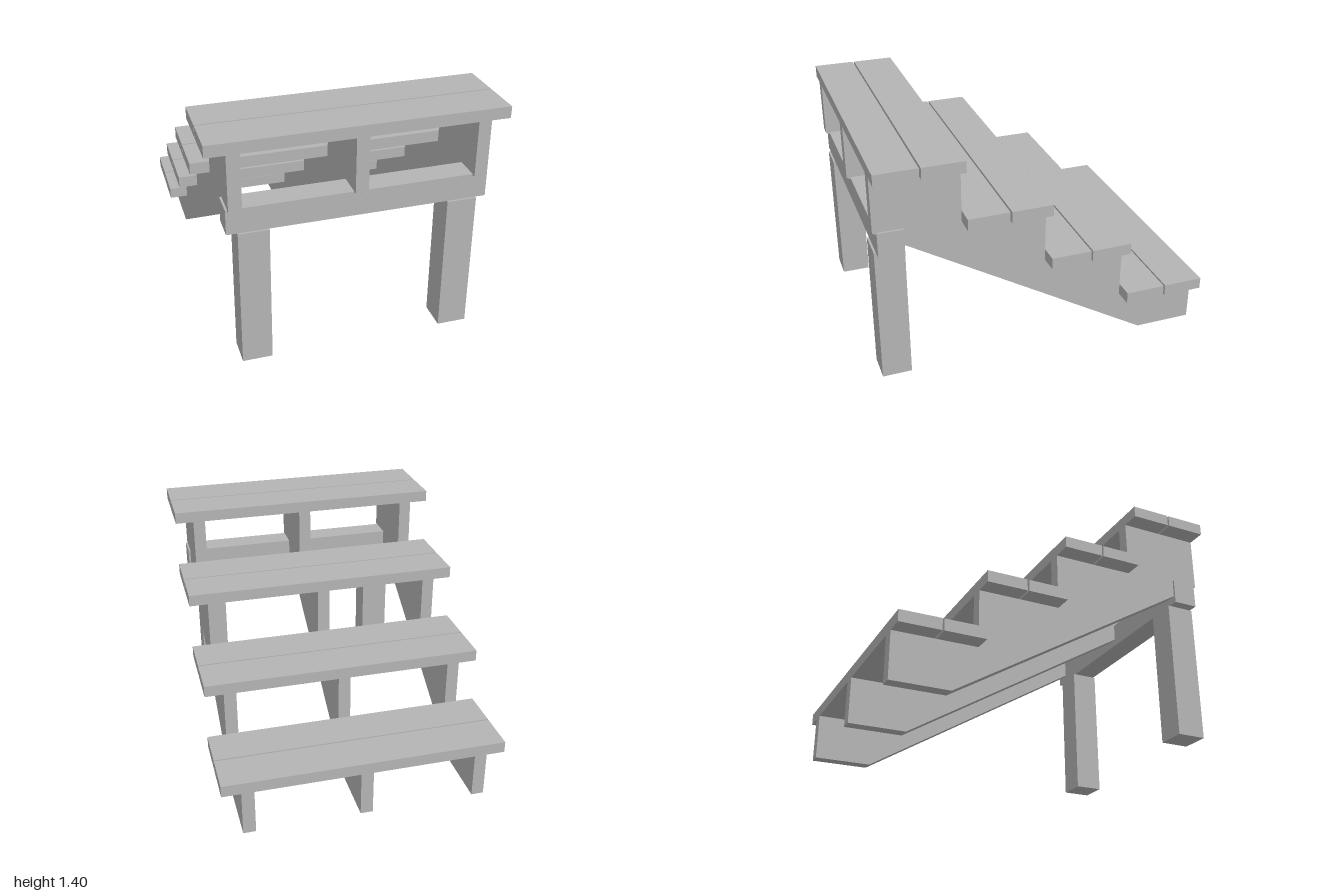
import * as THREE from 'three';

export function createModel() {
  const group = new THREE.Group();
  const grey = new THREE.MeshStandardMaterial({ color: 0xb4b4b4 });
  grey.name = 'plain grey';

  const add = (name, geometry, x = 0, y = 0, z = 0) => {
    const mesh = new THREE.Mesh(geometry, grey);
    mesh.name = name;
    mesh.position.set(x, y, z);
    group.add(mesh);
  };

  const steps = 4, run = 0.5, rise = 0.35, plankHeight = 0.07, gap = 0.01;

  // Sawtooth stringer profile, drawn in (z, y)
  const profile = new THREE.Shape();
  profile.moveTo(-1, 0);
  profile.lineTo(-0.65, 0);
  profile.lineTo(1, 1);
  for (let i = steps - 1; i >= 0; i--) {
    const y = (i + 1) * rise - plankHeight;
    profile.lineTo(-1 + (i + 1) * run, y);
    profile.lineTo(-1 + i * run, y);
  }
  profile.closePath();

  const thickness = 0.075;
  const stringer = new THREE.ExtrudeGeometry(profile, { depth: thickness, bevelEnabled: false });
  stringer.translate(0, 0, -thickness / 2);
  stringer.rotateY(-Math.PI / 2);
  [['rightStringer', -0.7], ['middleStringer', 0], ['leftStringer', 0.7]]
    .forEach(([name, x]) => add(name, stringer, x));

  // Two planks on each step
  const depth = (run - gap) / 2;
  const plank = new THREE.BoxGeometry(1.7, plankHeight, depth);
  for (let i = 0; i < steps; i++) {
    const y = (i + 1) * rise - plankHeight / 2;
    const z = -1 + (i + 0.5) * run;
    for (const side of [-1, 1]) {
      add(`step${i + 1}${side < 0 ? 'Outer' : 'Inner'}Plank`, plank, 0, y, z + side * (depth + gap) / 2);
    }
  }

  // Cross beam carried on two posts
  add('crossBeam', new THREE.BoxGeometry(1.5, 0.15, 0.15), 0, 0.925, 0.903);
  const post = new THREE.BoxGeometry(0.175, 0.85, 0.175);
  add('rightPost', post, -0.6025, 0.425, 0.903);
  add('leftPost', post, 0.6025, 0.425, 0.903);

  return group;
}
